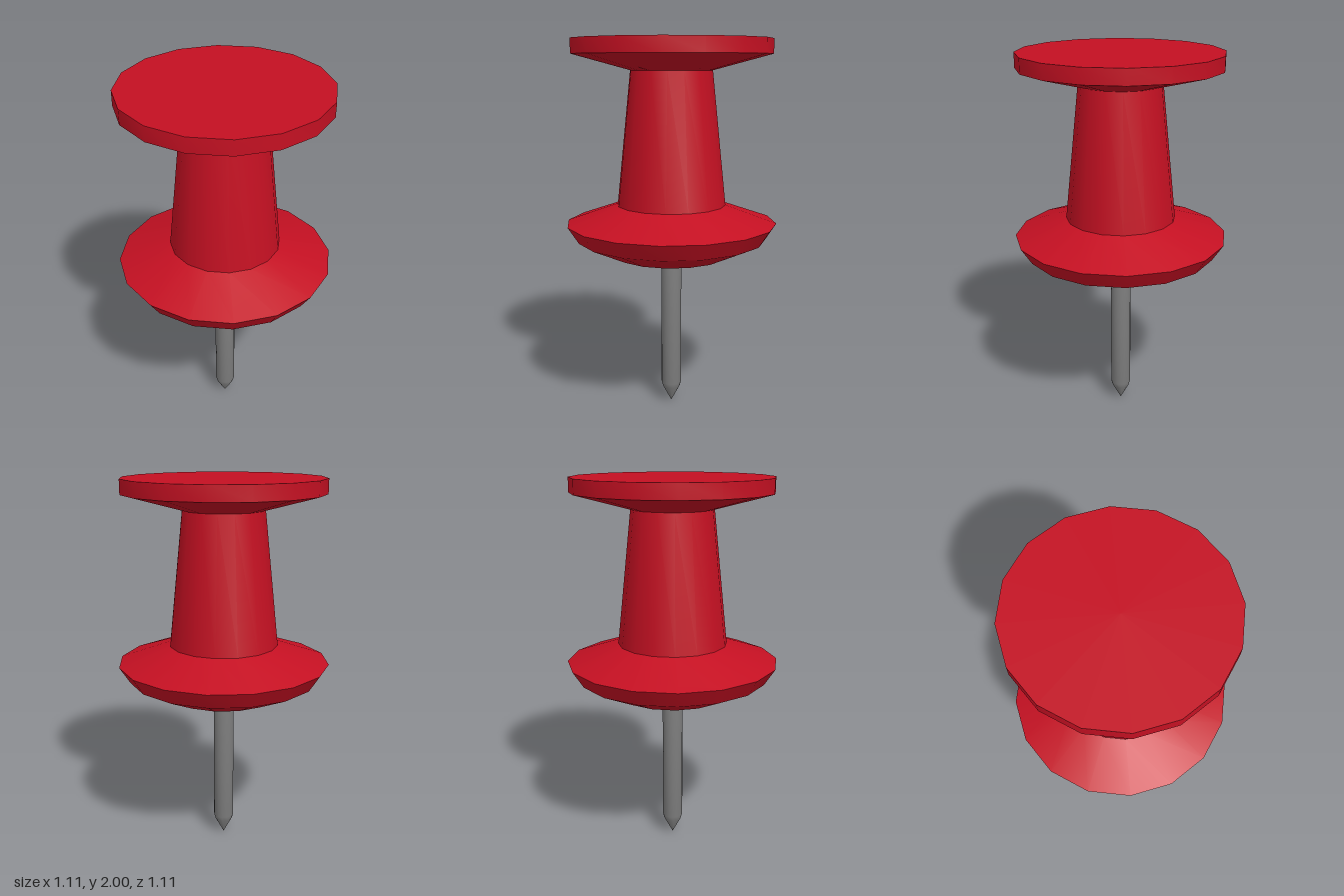
import * as THREE from 'three';
import { toCreasedNormals } from 'three/addons/utils/BufferGeometryUtils.js';

const SIDES = 16;
const FLAT = Math.cos(Math.PI / SIDES); // flat-to-centre over corner radius

// Turn a profile (half-width across flats, height), listed bottom to top
function turned(name, profile, color, crease) {
  const points = profile.map(([r, y]) => new THREE.Vector2(r / FLAT, y));
  const lathe = new THREE.LatheGeometry(points, SIDES, Math.PI / SIDES);
  const geometry = toCreasedNormals(lathe, THREE.MathUtils.degToRad(crease));
  const mesh = new THREE.Mesh(geometry, new THREE.MeshStandardMaterial({ color }));
  mesh.name = name;
  return mesh;
}

export function createModel() {
  const group = new THREE.Group();
  group.name = 'pushPin';

  // Plastic grip: bevelled collar, tapered neck and flat head
  group.add(turned('grip', [
    [0, 0.86], [0.305, 0.86], [0.497, 0.95], [0.553, 1.038], // collar underside and rim
    [0.285, 1.135], [0.212, 1.84], // neck
    [0.516, 1.923], [0.516, 2], [0, 2], // head
  ], 0xc41022, 28));

  // Metal needle with a sharpened tip
  group.add(turned('needle', [
    [0, 0], [0.047, 0.09], [0.054, 0.115], [0.054, 0.88], [0, 0.88],
  ], 0x808080, 40));

  return group;
}
